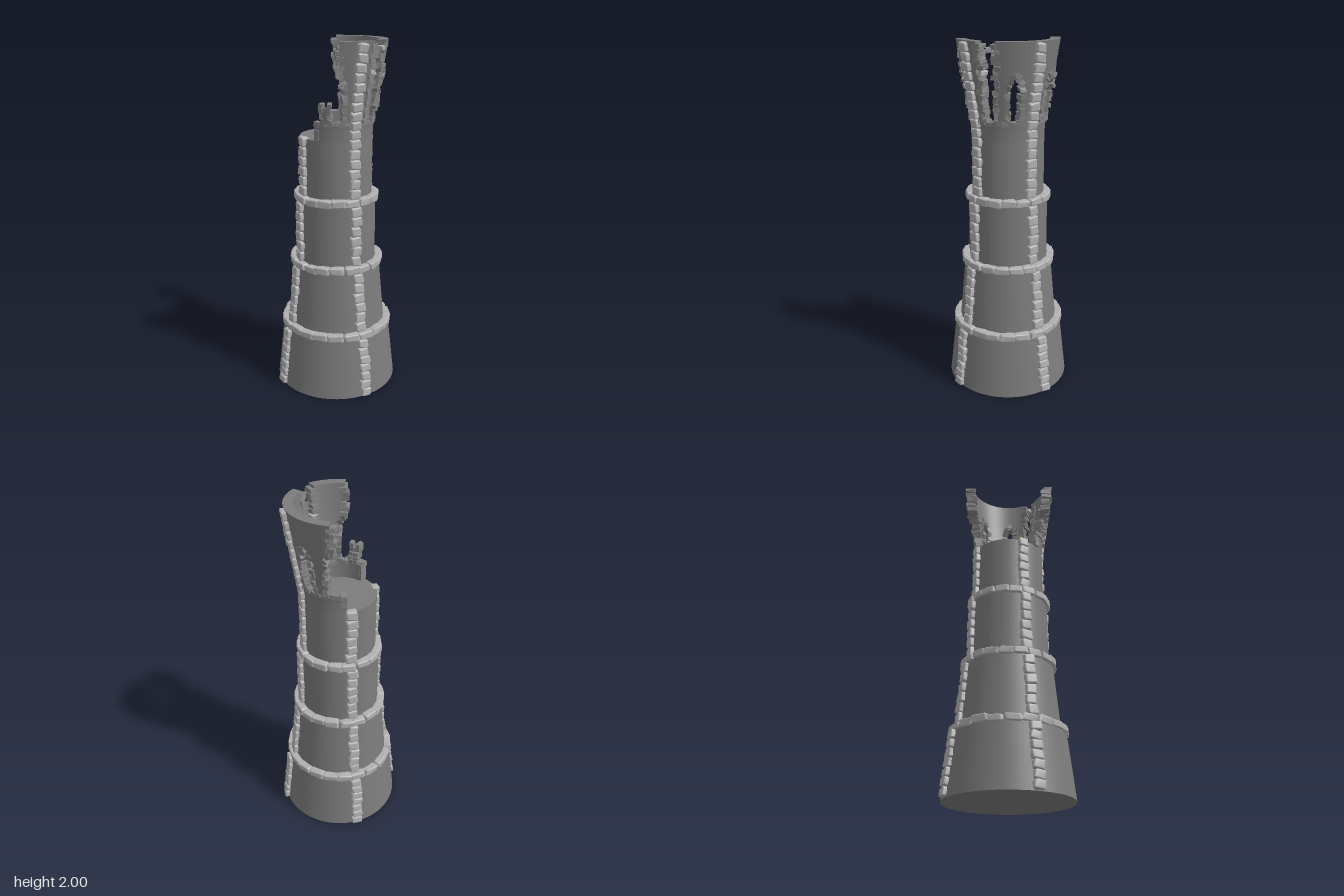
import * as THREE from 'three';
import { mergeVertices, toCreasedNormals } from 'three/addons/utils/BufferGeometryUtils.js';
import { RoundedBoxGeometry } from 'three/addons/geometries/RoundedBoxGeometry.js';

const wallMat = new THREE.MeshStandardMaterial({ color: 0x7c7c7c });
wallMat.name = 'dark grey wall';
const stoneMat = new THREE.MeshStandardMaterial({ color: 0xb0b0b0 });
stoneMat.name = 'light grey stone';
const brickMat = new THREE.MeshStandardMaterial({ color: 0x828282 });
brickMat.name = 'grey brick';

let seed = 7;
const rnd = () => (seed = (seed * 16807) % 2147483647) / 2147483647;
const jit = (s) => (rnd() - 0.5) * 2 * s;
const rad = THREE.MathUtils.degToRad;

// Piecewise linear lookup in [y, radius] points
function lookup(points, y) {
  for (let i = 1; i < points.length; i++) {
    const [y0, r0] = points[i - 1], [y1, r1] = points[i];
    if (y <= y1) return r0 + ((r1 - r0) * (y - y0)) / (y1 - y0);
  }
  return points[points.length - 1][1];
}
const tiers = [[0, 0.37, 0.355, 0.312], [0.37, 0.755, 0.286, 0.25], [0.755, 1.14, 0.226, 0.224], [1.14, 1.48, 0.203, 0.202]];
const crownOuter = [[1.48, 0.202], [1.54, 0.205], [1.62, 0.217], [1.72, 0.234], [1.84, 0.254], [2, 0.279]];
const crownInner = [[1.48, 0.165], [1.57, 0.168], [1.66, 0.182], [1.8, 0.205], [2, 0.227]];
const outerR = (y) => lookup(crownOuter, y);
const innerR = (y) => lookup(crownInner, y);

// Worn stone and brick shapes, unit sized
function worn(geo, amount, k) {
  const p = geo.attributes.position;
  for (let i = 0; i < p.count; i++) {
    const x = p.getX(i), y = p.getY(i), z = p.getZ(i);
    p.setXYZ(i,
      x + amount * Math.sin(5 * y + 4 * z + k),
      y + amount * Math.sin(6 * x + 3 * z + 2 * k),
      z + amount * Math.sin(4 * x + 6 * y + 3 * k));
  }
  return geo;
}
const stoneShapes = [1, 2, 3, 4].map((k) => {
  const g = new RoundedBoxGeometry(1, 1, 1, 2, 0.2);
  g.deleteAttribute('normal');
  g.deleteAttribute('uv');
  const m = mergeVertices(worn(g, 0.05, k), 1e-4);
  m.computeVertexNormals();
  return m;
});
const brickShapes = [1, 2, 3].map((k) => {
  const g = worn(new THREE.BoxGeometry(1, 1, 1), 0.1, k * 1.7).toNonIndexed();
  g.computeVertexNormals();
  return g;
});

// Put a block on the round wall: angle in degrees from the front towards +x
function place(group, name, shapes, mat, a, y, r, size, tilt = 0, roll = 0) {
  const m = new THREE.Mesh(shapes[Math.floor(rnd() * shapes.length)], mat);
  m.name = name;
  m.scale.set(...size);
  m.position.set(r * Math.sin(rad(a)), y, r * Math.cos(rad(a)));
  m.rotation.set(tilt, rad(a), roll, 'YXZ');
  group.add(m);
}
const brick = (group, a, y, size, roll = 0) =>
  place(group, 'brick', brickShapes, brickMat, a + jit(0.8), y, (innerR(y) + outerR(y)) / 2 + jit(0.005), size, jit(0.08), roll + jit(0.12));

// Closed curved wall section between two angles, with a bottom edge that may vary
function panel(a0, a1, low, high) {
  const n = Math.max(2, Math.ceil((a1 - a0) / 2)), m = 8, K = 2 * (m + 1);
  const pos = [], idx = [];
  for (let i = 0; i <= n; i++) {
    const a = a0 + ((a1 - a0) * i) / n, lo = low(a);
    for (let k = 0; k < K; k++) {
      const j = k <= m ? k : K - 1 - k;
      const y = lo + ((high - lo) * j) / m;
      const r = k <= m ? outerR(y) : innerR(y);
      pos.push(r * Math.sin(rad(a)), y, r * Math.cos(rad(a)));
    }
  }
  const quad = (a, b, c, d) => idx.push(a, b, c, a, c, d);
  for (let i = 0; i < n; i++)
    for (let k = 0; k < K; k++) {
      const k2 = (k + 1) % K;
      quad(i * K + k, (i + 1) * K + k, (i + 1) * K + k2, i * K + k2);
    }
  const e = n * K;
  for (let j = 0; j < m; j++) {
    quad(K - 1 - j, j, j + 1, K - 2 - j);
    quad(e + j, e + K - 1 - j, e + K - 2 - j, e + j + 1);
  }
  const g = new THREE.BufferGeometry();
  g.setAttribute('position', new THREE.Float32BufferAttribute(pos, 3));
  g.setIndex(idx);
  return toCreasedNormals(g, 0.6);
}

export function createModel() {
  seed = 7;
  const tower = new THREE.Group();
  tower.name = 'ruinedTower';
  const sub = (name) => {
    const g = new THREE.Group();
    g.name = name;
    tower.add(g);
    return g;
  };
  const add = (group, name, geo) => {
    const m = new THREE.Mesh(geo, wallMat);
    m.name = name;
    group.add(m);
  };

  // Stepped body
  const body = sub('body');
  for (const [y0, y1, r0, r1] of tiers) {
    const g = new THREE.CylinderGeometry(r1, r0, y1 - y0, 64);
    add(body, 'tier', g.translate(0, (y0 + y1) / 2, 0));
  }

  // Stone bands on the ledges
  const bands = sub('stoneBands');
  for (const [y, r, count] of [[0.368, 0.3, 22], [0.755, 0.246, 20], [1.14, 0.217, 18]]) {
    for (let i = 0; i < count; i++) {
      const w = ((2 * Math.PI * r) / count) * 1.08;
      place(bands, 'bandStone', stoneShapes, stoneMat, ((i + jit(0.08)) * 360) / count, y + jit(0.003), r + jit(0.002), [w, 0.042 + jit(0.004), 0.046], 0, jit(0.03));
    }
  }

  // Four upright rows of corner stones; the +x pair climbs to the top
  const corners = sub('cornerStones');
  const column = (a, y0, y1, radius, count) => {
    const h = (y1 - y0) / count;
    for (let i = 0; i < count; i++) {
      const y = y0 + h * (i + 0.5);
      const tilt = Math.atan2(radius(y + 0.01) - radius(y - 0.01), 0.02);
      place(corners, 'cornerStone', stoneShapes, stoneMat, a + jit(0.8), y, radius(y) + 0.001, [0.062 + jit(0.006), h * 0.97, 0.044 + jit(0.004)], tilt, jit(0.05));
    }
  };
  for (const a of [45, 135, 225, 315]) {
    for (const [y0, y1, r0, r1] of tiers)
      column(a, y0 + (y0 ? 0.02 : 0.004), y1 - (y1 < 1.4 ? 0.02 : -0.01), (y) => lookup([[y0, r0], [y1, r1]], y), y0 === 0 ? 7 : 6);
    if (a < 180) column(a, 1.49, 1.995, outerR, 10);
  }

  // Broken crown: low wall, piers and arches
  const crown = sub('crown');
  const sill = 1.57, springY = 1.72, half = 10;
  const archY = (c) => (a) => springY + 0.11 * Math.sqrt(Math.max(0, 1 - ((a - c) / half) ** 2));
  add(crown, 'lowWall', panel(-15, 214, () => 1.478, sill));
  for (const [a0, a1] of [[28, 62], [84, 98], [118, 152], [172, 188]])
    add(crown, 'pier', panel(a0, a1, () => sill - 0.01, 2));
  for (const [a0, a1, c] of [[20, 28, 18], [98, 118, 108], [152, 172, 162], [188, 197, 198]])
    add(crown, 'archWall', panel(a0, a1, archY(c), 2));
  add(crown, 'brokenPier', panel(-5, 6, () => sill - 0.01, 1.66));

  // Bricks round the windows
  const trim = sub('windowBricks');
  for (const [c, sides, from, to] of [[18, [1], 20, 90], [72, [-1, 1], 1, 0], [108, [-1, 1], 0, 180], [162, [-1, 1], 0, 180], [198, [-1], 90, 170]]) {
    for (const s of sides)
      for (let i = 0; i < 7; i++)
        brick(trim, c + s * (half + (i % 2 ? 0.4 : -0.5)), 1.585 + i * 0.022, [0.026 + jit(0.006), 0.021, 0.056 + jit(0.008)]);
    for (let t = from; t <= to; t += 22) {
      const u = rad(t);
      brick(trim, c + half * Math.cos(u), springY + 0.11 * Math.sin(u), [0.026, 0.028, 0.062], u - Math.PI / 2);
    }
  }
  // Broken pier's remaining bricks
  for (const a of [-5, 6])
    for (let i = 0; i < 5; i++) brick(trim, a, 1.585 + i * 0.022, [0.024, 0.021, 0.052]);

  // Loose course on top of the low wall
  const course = sub('wallTopBricks');
  for (let a = -13; a < 213; a += 9)
    brick(course, a, sill + 0.002, [0.034 + jit(0.005), 0.022 + jit(0.005), 0.044 + jit(0.004)]);
  for (const a of [-15, 214])
    for (let i = 0; i < 3; i++) brick(course, a, 1.5 + i * 0.03, [0.03, 0.03, 0.046]);

  // Jagged broken edges of the upper wall
  const edges = sub('brokenEdges');
  for (const [a, y0] of [[20, 1.84], [62.5, 1.74], [84, 1.74], [197, 1.84]])
    for (let y = y0, i = 0; y < 1.985; y += 0.026, i++)
      brick(edges, a + (i % 3 - 1) * 0.9, y, [0.026 + rnd() * 0.026, 0.024, 0.058 + jit(0.006)]);
  place(edges, 'looseStone', stoneShapes, stoneMat, 79, 1.96, 0.255, [0.04, 0.028, 0.05], 0, 0.1);
  place(edges, 'looseStone', stoneShapes, stoneMat, 64, 1.84, 0.235, [0.045, 0.03, 0.06], 0, -0.1);

  return tower;
}
